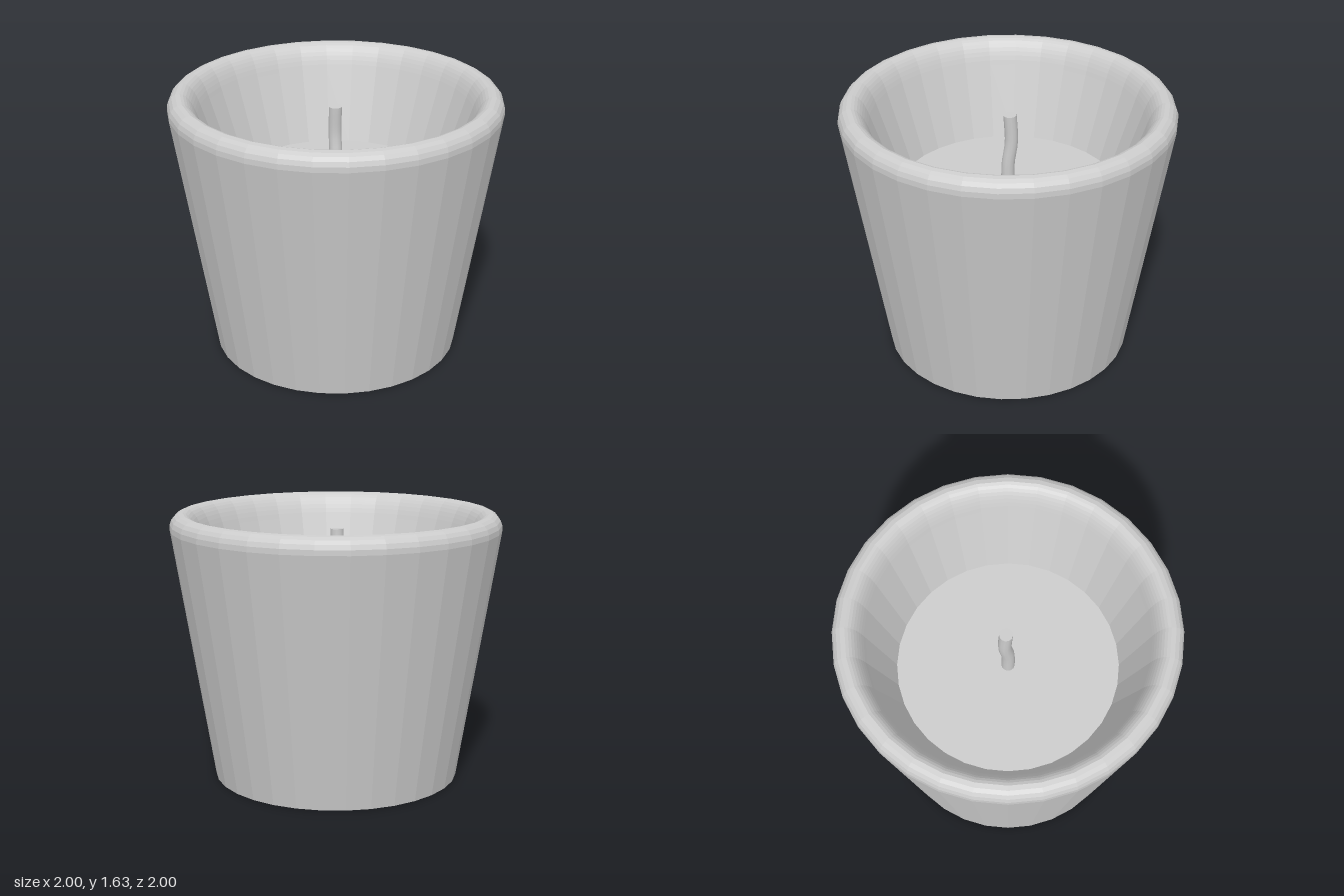
import * as THREE from 'three';

const SIDES = 32;
const WAX_Y = 1.04;
const WAX_R = 0.667;

function addMesh(group, name, geometry, flatShading) {
  const material = new THREE.MeshStandardMaterial({ color: 0xcccccc, flatShading });
  const mesh = new THREE.Mesh(geometry, material);
  mesh.name = name;
  group.add(mesh);
  return mesh;
}

export function createModel() {
  const group = new THREE.Group();
  group.name = 'candleCup';

  // Cup: closed base, tapered outer wall, rounded lip, inner wall down to the wax
  const lip = new THREE.Path();
  lip.moveTo(1, 1.535);
  lip.bezierCurveTo(1.005, 1.59, 0.97, 1.635, 0.92, 1.635);
  const innerLip = new THREE.Path();
  innerLip.moveTo(0.92, 1.635);
  innerLip.bezierCurveTo(0.87, 1.625, 0.84, 1.56, 0.815, 1.48);
  const profile = [
    new THREE.Vector2(0, 0),
    new THREE.Vector2(0.75, 0),
    ...lip.getPoints(5),
    ...innerLip.getPoints(8).slice(1),
    new THREE.Vector2(WAX_R, WAX_Y),
  ];
  addMesh(group, 'cup', new THREE.LatheGeometry(profile, SIDES), true);

  // Wax: flat disc filling the cup
  const wax = addMesh(group, 'waxSurface', new THREE.CircleGeometry(WAX_R, SIDES), true);
  wax.rotation.x = -Math.PI / 2;
  wax.position.y = WAX_Y;

  // Wick: slightly bent cord with a flat tip
  const path = new THREE.CatmullRomCurve3([
    new THREE.Vector3(0, WAX_Y - 0.02, 0),
    new THREE.Vector3(0, 1.2, 0),
    new THREE.Vector3(0, 1.35, -0.02),
    new THREE.Vector3(0, 1.53, -0.012),
  ]);
  addMesh(group, 'wick', new THREE.TubeGeometry(path, 10, 0.04, 12), false);
  const tip = addMesh(group, 'wickTip', new THREE.CircleGeometry(0.04, 12), true);
  tip.position.copy(path.getPoint(1));
  tip.lookAt(tip.position.clone().add(path.getTangent(1)));

  return group;
}
